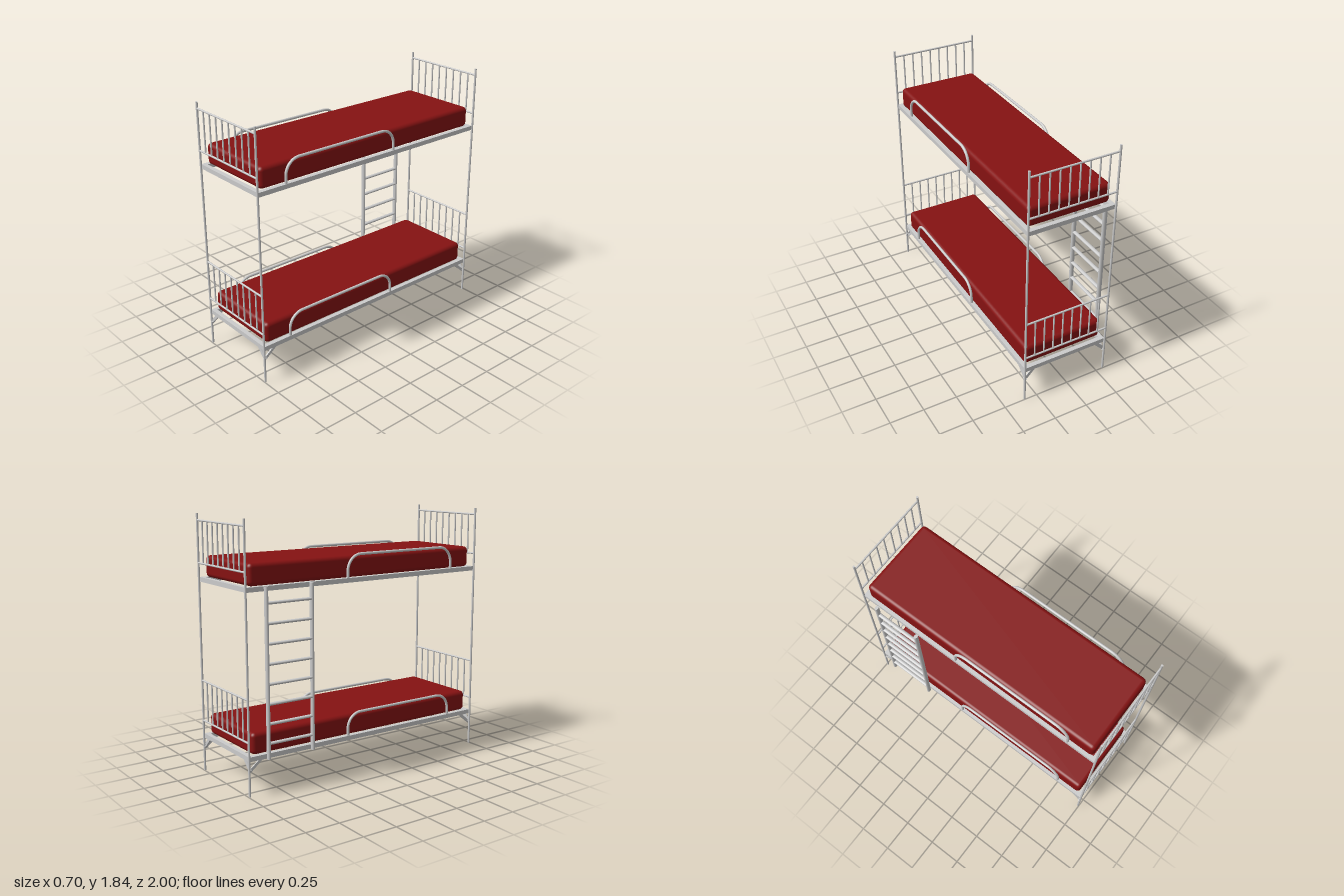
import * as THREE from 'three';
import { RoundedBoxGeometry } from 'three/addons/geometries/RoundedBoxGeometry.js';

const metal = new THREE.MeshStandardMaterial({ color: 0xcccccc });
const fabric = new THREE.MeshStandardMaterial({ color: 0x851212 });

// Main dimensions, measured from the middle of the bed
const HX = 0.326, HZ = 0.991, POST_H = 1.843;
const MID_X = 0.016; // the bed sits off-centre because of the ladder
const UP = new THREE.Vector3(0, 1, 0);
const V = (x, y, z) => new THREE.Vector3(x, y, z);

function add(parent, name, geometry, material = metal) {
  const mesh = new THREE.Mesh(geometry, material);
  mesh.name = name;
  parent.add(mesh);
  return mesh;
}

function group(parent, name) {
  const g = new THREE.Group();
  g.name = name;
  parent.add(g);
  return g;
}

// Lay a geometry that runs along y between two points
function span(parent, name, a, b, geometry) {
  const mesh = add(parent, name, geometry);
  mesh.position.copy(a).add(b).multiplyScalar(0.5);
  mesh.quaternion.setFromUnitVectors(UP, b.clone().sub(a).normalize());
  return mesh;
}

const rod = (parent, name, a, b, r) =>
  span(parent, name, a, b, new THREE.CylinderGeometry(r, r, a.distanceTo(b), 16));

const bar = (parent, name, a, b, w, d) =>
  span(parent, name, a, b, new THREE.BoxGeometry(w, a.distanceTo(b), d));

// Arched side guard: two uprights joined by rounded corners
function guardRail(parent, x, y) {
  const z0 = -0.18, z1 = 0.76, top = y + 0.16, r = 0.11;
  const path = new THREE.CurvePath();
  const corner = (a, c, b) => path.add(new THREE.CubicBezierCurve3(
    a, a.clone().lerp(c, 0.552), b.clone().lerp(c, 0.552), b));
  path.add(new THREE.LineCurve3(V(x, y - 0.01, z1), V(x, top - r, z1)));
  corner(V(x, top - r, z1), V(x, top, z1), V(x, top, z1 - r));
  path.add(new THREE.LineCurve3(V(x, top, z1 - r), V(x, top, z0 + r)));
  corner(V(x, top, z0 + r), V(x, top, z0), V(x, top - r, z0));
  path.add(new THREE.LineCurve3(V(x, top - r, z0), V(x, y - 0.01, z0)));
  add(parent, 'guardRail', new THREE.TubeGeometry(path, 96, 0.01, 12));
}

// End railing: two horizontal rods and eight upright bars
function endRailing(parent, z, y) {
  const g = group(parent, 'endRailing');
  const low = y + 0.098, high = y + 0.392;
  for (const h of [low, high]) rod(g, 'railingRod', V(-HX, h, z), V(HX, h, z), 0.007);
  for (let i = 1; i < 9; i++) {
    const x = -HX + (2 * HX * i) / 9;
    rod(g, 'railingBar', V(x, low, z), V(x, high, z), 0.006);
  }
}

// One bunk; y is the top of its frame
function bunk(parent, name, y) {
  const g = group(parent, name);
  const t = 0.032, cy = y - t / 2;
  for (const s of [-1, 1]) {
    add(g, 'sideRail', new THREE.BoxGeometry(t, t, 1.976)).position.set(s * (HX - t / 2), cy, 0);
    add(g, 'endRail', new THREE.BoxGeometry(2 * (HX - t), t, t)).position.set(0, cy, s * (0.988 - t / 2));
    guardRail(g, s * (HX - 0.011), y);
    endRailing(g, s * HZ, y);
  }
  add(g, 'mattress', new RoundedBoxGeometry(0.612, 0.151, 1.904, 5, 0.03), fabric)
    .position.set(0, y + 0.075, 0);
}

// Ladder with oval uprights and rungs
function ladder(parent) {
  const g = group(parent, 'ladder');
  const x = -0.3325 - MID_X, z0 = -0.853, z1 = -0.502;
  for (const z of [z0, z1]) {
    rod(g, 'ladderUpright', V(x, 0.245, z), V(x, 1.405, z), 0.0175).scale.z = 0.72;
  }
  for (let i = 0; i < 8; i++) {
    const y = 0.352 + i * 0.135;
    rod(g, 'ladderRung', V(x, y, z0), V(x, y, z1), 0.015).scale.z = 0.7;
  }
}

export function createModel() {
  const model = new THREE.Group();
  model.name = 'bunkBed';
  const bed = group(model, 'bed');
  bed.position.x = MID_X;

  bunk(bed, 'lowerBunk', 0.275);
  bunk(bed, 'upperBunk', 1.405);
  ladder(bed);

  // Corner posts, each with two diagonal braces under the lower frame
  for (const sx of [-1, 1]) for (const sz of [-1, 1]) {
    const x = sx * HX, z = sz * HZ;
    rod(bed, 'cornerPost', V(x, 0, z), V(x, POST_H, z), 0.008);
    bar(bed, 'endBrace', V(x, 0.178, z - sz * 0.008), V(x - sx * 0.075, 0.255, z - sz * 0.008), 0.024, 0.01);
    bar(bed, 'sideBrace', V(x - sx * 0.008, 0.17, z), V(x - sx * 0.008, 0.255, z - sz * 0.105), 0.01, 0.02);
  }
  return model;
}
